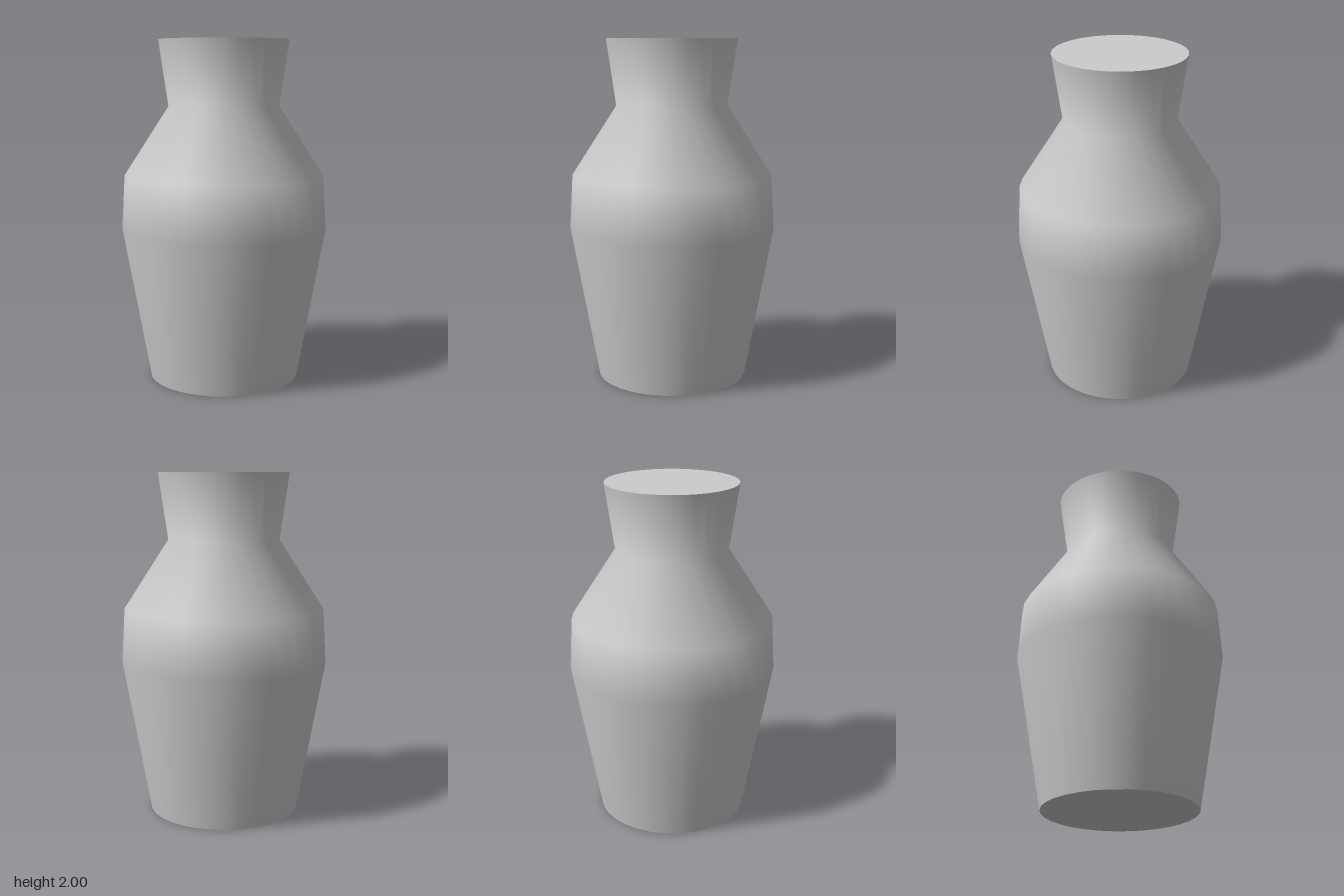
import * as THREE from 'three';

export function createModel() {
  const group = new THREE.Group();
  group.name = 'vase';
  const material = new THREE.MeshStandardMaterial({ color: 0xcccccc });
  const segments = 32;

  // Profile as [radius, height], from base to rim
  const profile = [[0.443, 0], [0.605, 0.9], [0.587, 1.21], [0.325, 1.615], [0.381, 2]]
    .map(([r, y]) => new THREE.Vector2(r, y));

  const body = new THREE.Mesh(new THREE.LatheGeometry(profile, segments), material);
  body.name = 'body';
  group.add(body);

  // Flat discs closing the rim and the base
  const addCap = (name, { x: radius, y }, tilt) => {
    const cap = new THREE.Mesh(new THREE.CircleGeometry(radius, segments).rotateX(tilt), material);
    cap.name = name;
    cap.position.y = y;
    group.add(cap);
  };
  addCap('base', profile[0], Math.PI / 2);
  addCap('topCap', profile[profile.length - 1], -Math.PI / 2);

  return group;
}
